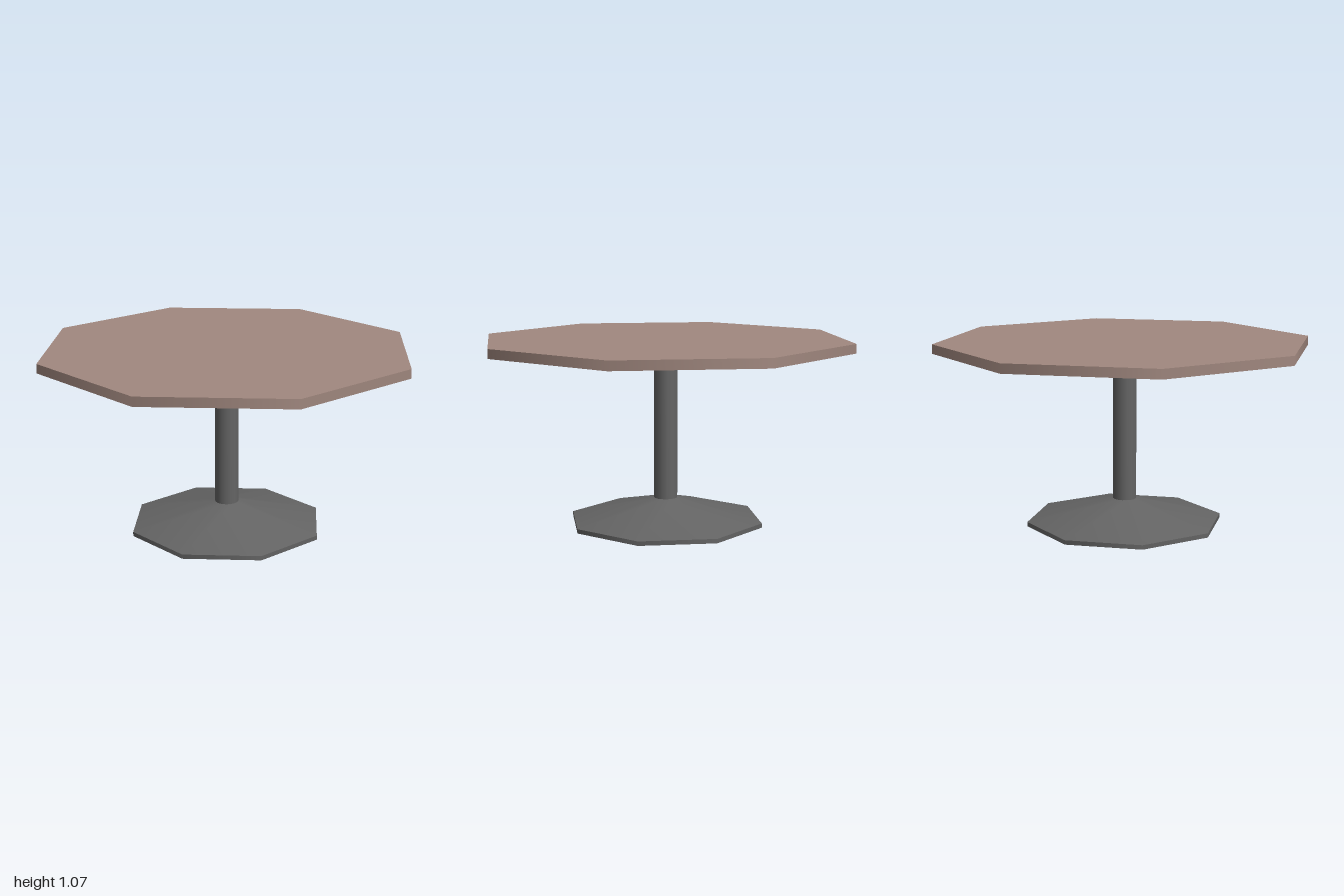
import * as THREE from 'three';

const top = new THREE.MeshStandardMaterial({ color: 0xa1887f });
top.name = 'brownTop';
const metal = new THREE.MeshStandardMaterial({ color: 0x646464 });
metal.name = 'greyMetal';

// Octagon prism measured across its flats, with flats facing the axes
function octagon(topHalf, bottomHalf, y0, y1) {
  const k = 1 / Math.cos(Math.PI / 8);
  const g = new THREE.CylinderGeometry(topHalf * k, bottomHalf * k, y1 - y0, 8, 1, false, Math.PI / 8);
  return g.translate(0, (y0 + y1) / 2, 0);
}

export function createModel() {
  const group = new THREE.Group();
  group.name = 'pedestalTable';
  const add = (name, geometry, material) => {
    const mesh = new THREE.Mesh(geometry, material);
    mesh.name = name;
    group.add(mesh);
    return mesh;
  };

  // Tabletop
  add('tabletop', octagon(1, 1, 1.015, 1.068), top);

  // Foot: thin rim and sloped cover
  add('footRim', octagon(0.526, 0.526, 0, 0.025), metal);
  add('footSlope', octagon(0.066, 0.526, 0.025, 0.147), metal);

  // Column
  const column = new THREE.CylinderGeometry(0.068, 0.068, 0.84, 16);
  add('column', column.translate(0, 0.56, 0), metal);

  // Mounting plate with a screw in each corner
  add('mountingPlate', new THREE.BoxGeometry(0.606, 0.053, 0.606).translate(0, 0.9885, 0), metal);
  const screw = new THREE.CylinderGeometry(0.016, 0.016, 0.012, 8);
  for (const x of [-0.27, 0.27]) {
    for (const z of [-0.27, 0.27]) {
      add('plateScrew', screw, metal).position.set(x, 0.96, z);
    }
  }
  return group;
}
